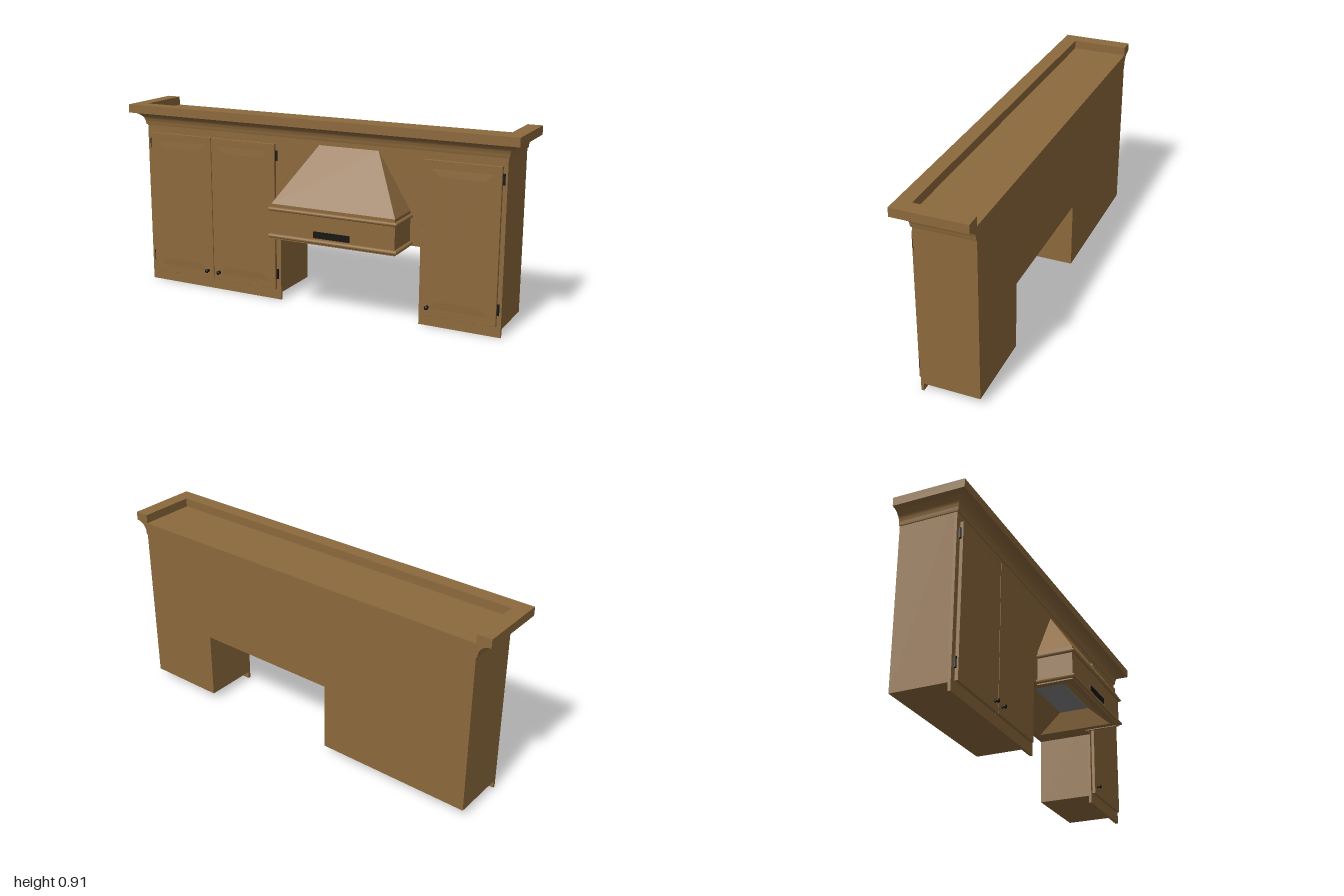
import * as THREE from 'three';
import { toCreasedNormals } from 'three/addons/utils/BufferGeometryUtils.js';

const material = (name, color, side = THREE.FrontSide) => {
  const m = new THREE.MeshStandardMaterial({ color, side });
  m.name = name;
  return m;
};

export function createModel() {
  const wood = material('wood', 0x8c693c, THREE.DoubleSide);
  const black = material('black metal', 0x151413);
  const grey = material('grey filter', 0x808080);

  const model = new THREE.Group();
  model.name = 'wallCabinetWithHood';

  const add = (name, geometry, mat = wood, parent = model) => {
    const mesh = new THREE.Mesh(geometry, mat);
    mesh.name = name;
    parent.add(mesh);
    return mesh;
  };
  // Box given by its extents
  const box = (name, x0, x1, y0, y1, z0, z1, mat = wood, parent = model) => {
    const g = new THREE.BoxGeometry(x1 - x0, y1 - y0, z1 - z0);
    g.translate((x0 + x1) / 2, (y0 + y1) / 2, (z0 + z1) / 2);
    return add(name, g, mat, parent);
  };
  const fromPositions = (positions) => {
    const g = new THREE.BufferGeometry();
    g.setAttribute('position', new THREE.Float32BufferAttribute(positions, 3));
    return g;
  };
  // Mitred moulding around left side, front and right side; profile is [outward, y], counterclockwise
  const moulding = (profile, xl, xr, zb, zf) => {
    const at = ([o, y], k) => [k < 2 ? xl - o : xr + o, y, k === 1 || k === 2 ? zf + o : zb];
    const pos = [];
    profile.forEach((p, i) => {
      const q = profile[(i + 1) % profile.length];
      for (let k = 0; k < 3; k++) {
        const a = at(p, k), b = at(p, k + 1), c = at(q, k + 1), d = at(q, k);
        pos.push(...a, ...b, ...c, ...a, ...c, ...d);
      }
    });
    const contour = profile.map(([o, y]) => new THREE.Vector2(o, y));
    for (const [a, b, c] of THREE.ShapeUtils.triangulateShape(contour, [])) {
      for (const i of [a, b, c]) pos.push(...at(profile[i], 0));
      for (const i of [a, c, b]) pos.push(...at(profile[i], 3));
    }
    return toCreasedNormals(fromPositions(pos), 0.6);
  };
  // Four walls between two rectangles [x0, x1, z0, z1] at heights y0 and y1
  const loft = (r0, y0, r1, y1) => {
    const ring = ([x0, x1, z0, z1], y) => [[x0, y, z1], [x1, y, z1], [x1, y, z0], [x0, y, z0]];
    const lo = ring(r0, y0), hi = ring(r1, y1), pos = [];
    for (let i = 0; i < 4; i++) {
      const j = (i + 1) % 4;
      pos.push(...lo[i], ...lo[j], ...hi[j], ...lo[i], ...hi[j], ...hi[i]);
    }
    const g = fromPositions(pos);
    g.computeVertexNormals();
    return g;
  };
  const shapeOf = (points) => new THREE.Shape(points.map(([x, y]) => new THREE.Vector2(x, y)));

  // Cabinet carcass: two cupboards joined by a bridge above the hood
  const W = 0.935, OL = -0.174, OR = 0.546, BACK = -0.231, FRONT = 0.044, FRAME = 0.031;
  const FLOOR = 0.037, SOFFIT = 0.367;
  const carcass = shapeOf([[-W, FLOOR], [OL, FLOOR], [OL, 0.48], [OR, 0.48], [OR, FLOOR],
    [W, FLOOR], [W, 0.872], [-W, 0.872]]);
  const carcassGeo = new THREE.ExtrudeGeometry(carcass, { depth: FRAME - BACK, bevelEnabled: false });
  carcassGeo.translate(0, 0, BACK);
  add('carcass', carcassGeo);
  box('bridgeBackRail', OL, OR, SOFFIT, 0.48, BACK, BACK + 0.02);

  // Face frame, hanging below the carcass and cut away behind the hood cavity
  const frame = shapeOf([[-W, 0], [OL, 0], [OL, SOFFIT], [-0.09, SOFFIT], [-0.09, 0.48], [0.46, 0.48],
    [0.46, SOFFIT], [OR, SOFFIT], [OR, 0], [W, 0], [W, 0.872], [-W, 0.872]]);
  const frameGeo = new THREE.ExtrudeGeometry(frame, { depth: FRONT - FRAME, bevelEnabled: false });
  frameGeo.translate(0, 0, FRAME);
  add('faceFrame', frameGeo);

  // Crown moulding with a cove under a square top band
  const crown = [[-0.004, 0.81], [0.005, 0.81]];
  for (let i = 0; i <= 12; i++) {
    const a = (i / 12) * Math.PI / 2;
    crown.push([0.06 - 0.053 * Math.cos(a), 0.818 + 0.054 * Math.sin(a)]);
  }
  crown.push([0.065, 0.873], [0.065, 0.914], [-0.004, 0.914]);
  add('crownMoulding', moulding(crown, -W, W, BACK, FRONT));

  // Doors with eased edges and raised centre panels
  const slab = (w, h, depth, bevel) => {
    const x = w / 2 - bevel, y = h / 2 - bevel;
    return new THREE.ExtrudeGeometry(shapeOf([[-x, -y], [x, -y], [x, y], [-x, y]]), {
      depth, bevelEnabled: true, bevelSize: bevel, bevelThickness: 0.002, bevelSegments: 1,
    });
  };
  const knobProfile = [[0, 0], [0.008, 0], [0.004, 0.003], [0.004, 0.01], [0.009, 0.013],
    [0.01, 0.016], [0.007, 0.02], [0, 0.021]].map(([r, y]) => new THREE.Vector2(r, y));
  const doors = [
    { name: 'rightOuterDoor', x: -0.731, hinge: -1 },
    { name: 'rightInnerDoor', x: -0.374, hinge: 1 },
    { name: 'leftDoor', x: 0.738, hinge: 1 },
  ];
  for (const { name, x, hinge } of doors) {
    const door = new THREE.Group();
    door.name = name;
    door.position.x = x;
    model.add(door);
    add('doorSlab', slab(0.355, 0.721, 0.012, 0.001), wood, door).position.set(0, 0.4135, 0.046);
    add('doorPanel', slab(0.28, 0.645, 0.0005, 0.035), wood, door).position.set(0, 0.4135, 0.0595);
    for (const y of [0.13, 0.717]) {
      const hx = hinge * 0.182;
      box('hinge', hx - 0.005, hx + 0.005, y - 0.025, y + 0.025, 0.043, 0.052, black, door);
    }
    const knob = add('knob', new THREE.LatheGeometry(knobProfile, 20), black, door);
    knob.rotation.x = Math.PI / 2;
    knob.position.set(-hinge * 0.145, 0.094, 0.06);
  }

  // Range hood: skirt, sloping canopy and two rounded trims
  const hood = new THREE.Group();
  hood.name = 'hood';
  model.add(hood);
  const HL = -0.123, HR = 0.495, HF = 0.219;
  add('hoodSkirt', moulding([[-0.01, 0.363], [0, 0.363], [0, 0.53], [-0.01, 0.53]],
    HL, HR, FRONT, HF), wood, hood);
  add('hoodCanopy', loft([HL, HR, 0.04, HF], 0.53, [0.035, 0.335, 0.04, 0.045], 0.788), wood, hood);
  for (const [y, r] of [[0.507, 0.009], [0.379, 0.01]]) {
    const trim = [[-0.002, y - r]];
    for (let i = 0; i <= 8; i++) {
      const a = (i / 8 - 0.5) * Math.PI;
      trim.push([0.003 + r * Math.cos(a), y + r * Math.sin(a)]);
    }
    trim.push([-0.002, y + r]);
    add('hoodTrim', moulding(trim, HL, HR, FRONT, HF), wood, hood);
  }
  box('controlPlate', 0.095, 0.277, 0.395, 0.426, HF, HF + 0.003, black, hood);

  // Underside with a tapered recess leading up to the filter
  const mouth = [-0.083, 0.455, -0.195, 0.185], filter = [-0.055, 0.427, -0.07, 0.08];
  const under = shapeOf([[OL, BACK], [OR, BACK], [OR, FRONT], [HR, FRONT], [HR, HF],
    [HL, HF], [HL, FRONT], [OL, FRONT]]);
  const [x0, x1, z0, z1] = mouth;
  under.holes.push(shapeOf([[x0, z0], [x0, z1], [x1, z1], [x1, z0]]));
  const underGeo = new THREE.ShapeGeometry(under);
  underGeo.rotateX(Math.PI / 2);
  underGeo.translate(0, SOFFIT, 0);
  add('hoodUnderside', underGeo, wood, hood);
  add('hoodRecess', loft(mouth, SOFFIT, filter, 0.462), wood, hood);
  box('hoodFilter', filter[0], filter[1], 0.46, 0.466, filter[2], filter[3], grey, hood);

  return model;
}
